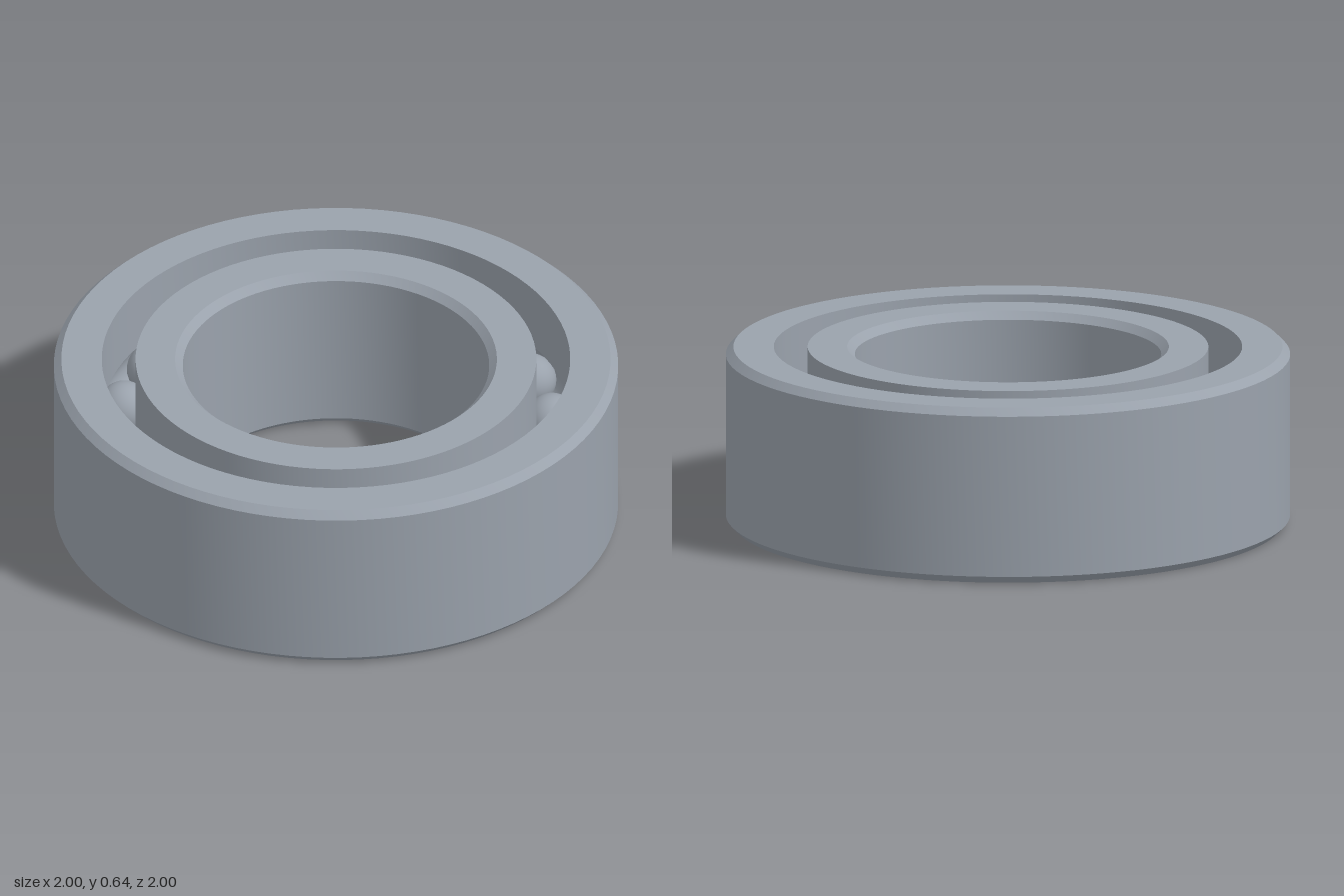
import * as THREE from 'three';
import { toCreasedNormals } from 'three/addons/utils/BufferGeometryUtils.js';

const HEIGHT = 0.636, MID = HEIGHT / 2, CHAMFER = 0.027;
const PITCH = 0.77, BALL_RADIUS = 0.095, BALLS = 18, GROOVE = 0.098;

// Arc of the ball raceway, cut into a ring's land at radius r.
// side = 1 for the outer race, -1 for the inner race.
function raceway(r, side) {
  const half = Math.acos(Math.abs(r - PITCH) / GROOVE);
  const points = [];
  for (let i = 0; i <= 12; i++) {
    const a = half * (1 - i / 6) * side;
    points.push([PITCH + side * GROOVE * Math.cos(a), MID + side * GROOVE * Math.sin(a)]);
  }
  return points;
}

// Revolve a closed section, given counter-clockwise as [radius, height]
function ring(name, section, material) {
  const points = [...section, section[0]].map(([r, y]) => new THREE.Vector2(r, y));
  const geometry = toCreasedNormals(new THREE.LatheGeometry(points, 96), 0.5);
  const mesh = new THREE.Mesh(geometry, material);
  mesh.name = name;
  return mesh;
}

export function createModel() {
  const steel = new THREE.MeshStandardMaterial({ color: 0x9aa2ac });
  steel.name = 'steel';
  const model = new THREE.Group();
  model.name = 'ballBearing';

  // Outer ring: chamfered outside, raceway inside
  const outerLand = 0.83;
  model.add(ring('outerRing', [
    [outerLand, 0], [1 - CHAMFER, 0], [1, CHAMFER],
    [1, HEIGHT - CHAMFER], [1 - CHAMFER, HEIGHT], [outerLand, HEIGHT],
    ...raceway(outerLand, 1),
  ], steel));

  // Inner ring: raceway outside, chamfered bore
  const innerLand = 0.71, bore = 0.543;
  model.add(ring('innerRing', [
    [bore + CHAMFER, 0], [innerLand, 0],
    ...raceway(innerLand, -1),
    [innerLand, HEIGHT], [bore + CHAMFER, HEIGHT],
    [bore, HEIGHT - CHAMFER], [bore, CHAMFER],
  ], steel));

  // Balls evenly spaced along the pitch circle
  const balls = new THREE.Group();
  balls.name = 'balls';
  const ballGeometry = new THREE.SphereGeometry(BALL_RADIUS, 32, 20);
  for (let i = 0; i < BALLS; i++) {
    const a = THREE.MathUtils.degToRad(-8.1 + i * 360 / BALLS);
    const ball = new THREE.Mesh(ballGeometry, steel);
    ball.name = 'ball';
    ball.position.set(PITCH * Math.cos(a), MID, PITCH * Math.sin(a));
    balls.add(ball);
  }
  model.add(balls);
  return model;
}
